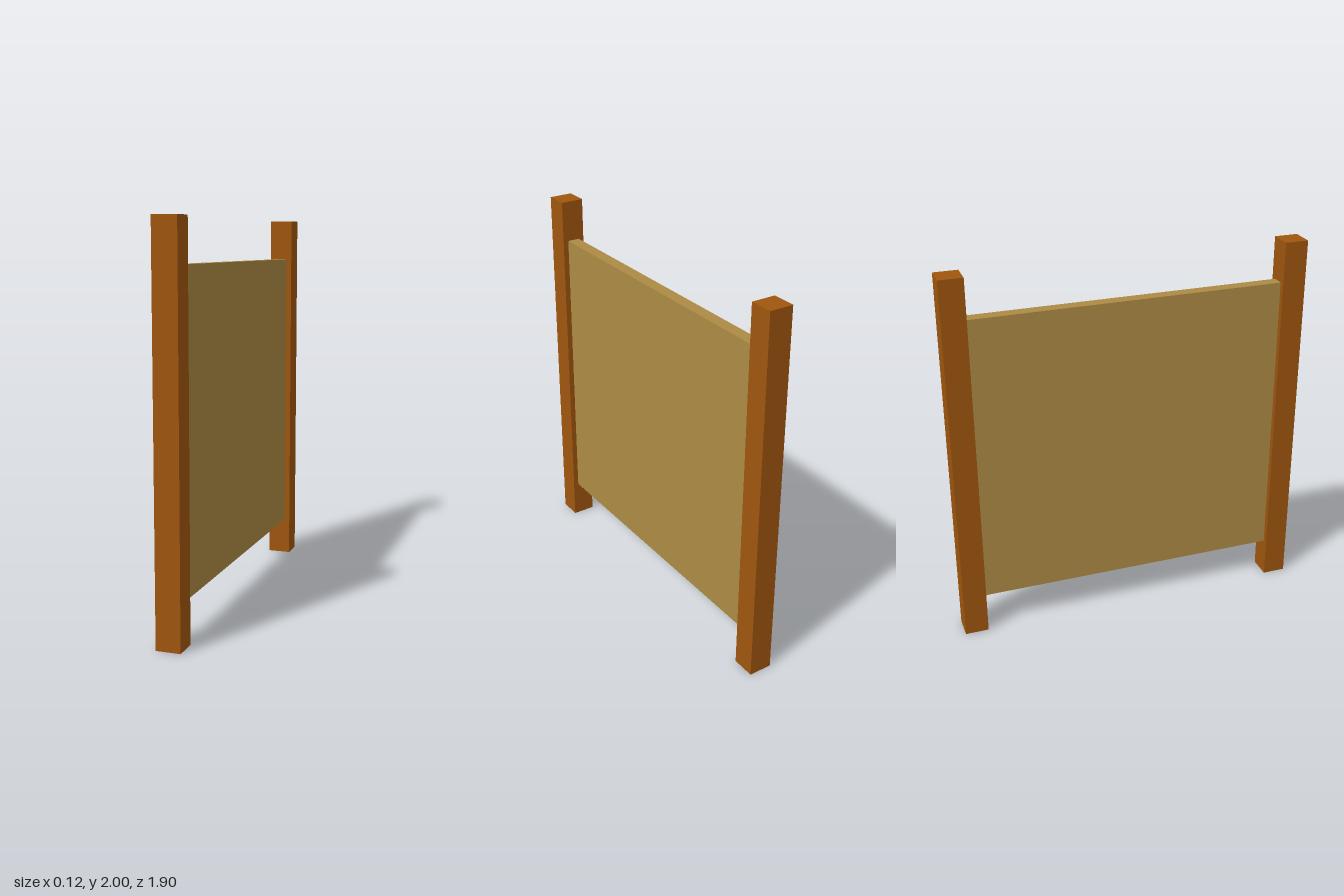
import * as THREE from 'three';

export function createModel() {
  const model = new THREE.Group();
  model.name = 'fencePanel';

  const postWood = new THREE.MeshStandardMaterial({ color: 0xa0560e });
  postWood.name = 'dark brown wood';
  const panelWood = new THREE.MeshStandardMaterial({ color: 0xad8b44 });
  panelWood.name = 'tan wood';

  function addBox(name, material, size, position) {
    const mesh = new THREE.Mesh(new THREE.BoxGeometry(...size), material);
    mesh.name = name;
    mesh.position.set(...position);
    model.add(mesh);
  }

  // Square posts at both ends
  const postWidth = 0.125;
  const postZ = 0.89;
  for (const [name, side] of [['frontPost', 1], ['backPost', -1]]) {
    addBox(name, postWood, [postWidth, 2, postWidth], [0, 1, side * postZ]);
  }

  // Thin board held between the posts, clear of the ground
  const bottom = 0.205, top = 1.78;
  const length = 2 * postZ - postWidth;
  addBox('panel', panelWood, [0.066, top - bottom, length], [0, (top + bottom) / 2, 0]);

  return model;
}
